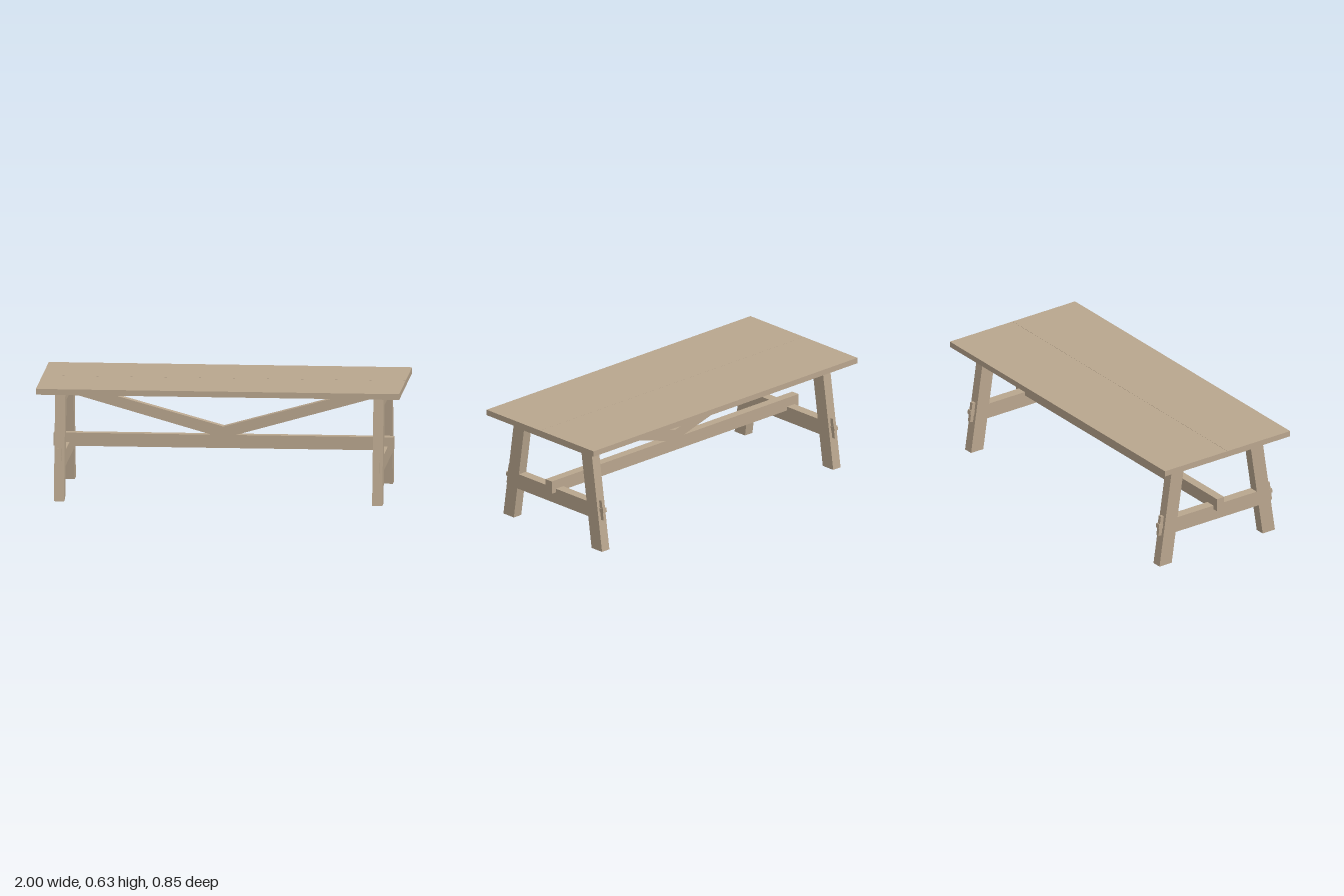
import * as THREE from 'three';

const LEG_X = 0.876;      // centre of each end frame
const LEG_W = 0.056;      // thickness of the frame timbers
const TOP_Y = 0.598;      // underside of the table top
const SLOPE = 0.149;      // inward lean of the legs

// z of the inner and outer leg edges at height y
const inner = (y) => 0.309 - SLOPE * y;
const outer = (y) => 0.392 - SLOPE * y;

function extrude(points, depth) {
  const shape = new THREE.Shape(points.map(([a, b]) => new THREE.Vector2(a, b)));
  const geo = new THREE.ExtrudeGeometry(shape, { depth, bevelEnabled: false });
  return geo.translate(0, 0, -depth / 2);
}

// outline given as (z, y), thickness along x
const sideExtrude = (points, depth) => extrude(points, depth).rotateY(-Math.PI / 2);

export function createModel() {
  const model = new THREE.Group();
  model.name = 'trestleTable';
  const wood = new THREE.MeshStandardMaterial({ color: 0xb9a68e });
  wood.name = 'paleWood';

  const add = (parent, name, geo) => {
    const mesh = new THREE.Mesh(geo, wood);
    mesh.name = name;
    parent.add(mesh);
    return mesh;
  };

  // two top boards with a hairline seam
  for (const s of [-1, 1]) {
    add(model, s > 0 ? 'frontTopBoard' : 'backTopBoard',
      new THREE.BoxGeometry(2, 0.032, 0.4245)).position.set(0, 0.614, s * 0.21275);
  }

  // cross rail trimmed to the leaning legs
  const rail = (y0, y1) => sideExtrude([
    [-inner(y0), y0], [inner(y0), y0], [inner(y1), y1], [-inner(y1), y1],
  ], LEG_W);

  // end frames
  for (const end of [-1, 1]) {
    const frame = new THREE.Group();
    frame.name = end > 0 ? 'leftEndFrame' : 'rightEndFrame';
    frame.position.x = end * LEG_X;
    model.add(frame);

    add(frame, 'upperRail', rail(0.537, TOP_Y));
    add(frame, 'lowerRail', rail(0.18, 0.267));

    for (const s of [-1, 1]) {
      add(frame, s > 0 ? 'frontLeg' : 'backLeg', sideExtrude([
        [s * inner(0), 0], [s * outer(0), 0], [s * outer(TOP_Y), TOP_Y], [s * inner(TOP_Y), TOP_Y],
      ], LEG_W));

      // through tenon and its locking peg, square to the leg face
      const joint = new THREE.Group();
      joint.name = 'wedgedTenon';
      joint.position.set(0, 0.232, s * outer(0.232));
      joint.rotation.x = -s * Math.atan(SLOPE);
      frame.add(joint);
      add(joint, 'tenon', new THREE.BoxGeometry(0.027, 0.025, 0.056)).position.z = 0;
      add(joint, 'peg', new THREE.BoxGeometry(0.02, 0.113, 0.022)).position.z = s * 0.0095;
    }
  }

  // long stretcher resting in the lower rails
  add(model, 'stretcher', new THREE.BoxGeometry(1.87, 0.073, 0.05)).position.y = 0.2815;

  // diagonal braces rising from the middle of the stretcher
  for (const s of [-1, 1]) {
    add(model, s > 0 ? 'leftBrace' : 'rightBrace', extrude([
      [0, 0.318], [s * 0.065, 0.318], [s * 0.848, 0.54], [s * 0.848, TOP_Y], [0, 0.364],
    ], 0.05));
  }

  return model;
}
